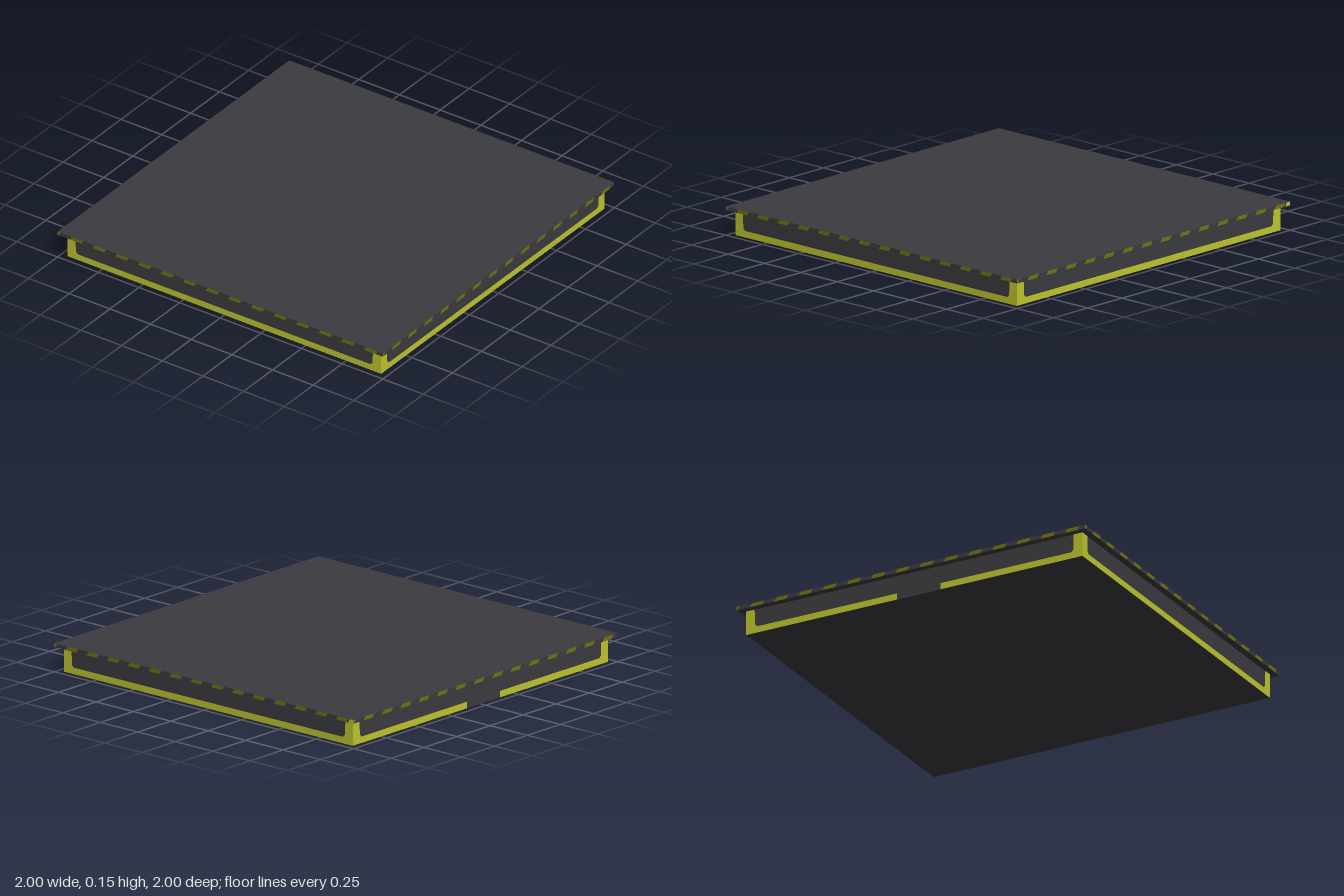
import * as THREE from 'three';

const BASE = 0.965, BASE_TOP = 0.13, TOP = 0.15;

function polygon(points) {
  return new THREE.ShapeGeometry(new THREE.Shape(points.map(([x, y]) => new THREE.Vector2(x, y))));
}

export function createModel() {
  const model = new THREE.Group();
  model.name = 'floorPlate';

  const darkMetal = new THREE.MeshStandardMaterial({ color: 0x3c3b40 });
  darkMetal.name = 'darkMetal';
  const yellowPaint = new THREE.MeshStandardMaterial({ color: 0xc0c62e });
  yellowPaint.name = 'yellowPaint';
  const olivePaint = new THREE.MeshStandardMaterial({ color: 0x74750f });
  olivePaint.name = 'olivePaint';

  const add = (parent, name, geometry, material, x = 0, y = 0, z = 0) => {
    const mesh = new THREE.Mesh(geometry, material);
    mesh.name = name;
    mesh.position.set(x, y, z);
    parent.add(mesh);
  };

  // Solid base and overhanging lid
  const inner = (BASE - 0.002) * 2;
  add(model, 'base', new THREE.BoxGeometry(inner, BASE_TOP, inner), darkMetal, 0, BASE_TOP / 2);
  const lid = (1 - 0.001) * 2;
  add(model, 'lid', new THREE.BoxGeometry(lid, TOP - BASE_TOP, lid), darkMetal, 0, (TOP + BASE_TOP) / 2);

  // Half of the painted border: an upright and a bottom strip ending at x = end
  const borderHalf = (end) => polygon([
    [-BASE, 0], [end, 0], [end, 0.034], [-0.9, 0.034], [-0.912, 0.046],
    [-0.915, BASE_TOP], [-BASE, BASE_TOP],
  ]);

  ['front', 'right', 'back', 'left'].forEach((name, i) => {
    const side = new THREE.Group();
    side.name = name + 'Side';
    side.rotation.y = i * Math.PI / 2;
    model.add(side);

    // The back strip is interrupted near its middle
    const [gapStart, gapEnd] = name === 'back' ? [-0.1, 0.15] : [0, 0];
    add(side, 'borderLeftHalf', borderHalf(gapStart), yellowPaint, 0, 0, BASE);
    const mirrored = borderHalf(-gapEnd).rotateY(Math.PI); // faces inward, so flip the winding
    const index = mirrored.index.array;
    for (let k = 0; k < index.length; k += 3) [index[k], index[k + 1]] = [index[k + 1], index[k]];
    mirrored.computeVertexNormals();
    add(side, 'borderRightHalf', mirrored, yellowPaint, 0, 0, BASE);

    // Slanted warning stripes along the lid edge
    for (let k = -4; k <= 10; k++) {
      const c = -0.465 + 0.139 * k;
      const clip = (x) => Math.max(-1, Math.min(1, x));
      const stripe = polygon([
        [clip(c - 0.042), BASE_TOP], [clip(c + 0.028), BASE_TOP],
        [clip(c + 0.042), TOP], [clip(c - 0.028), TOP],
      ]);
      add(side, 'stripe', stripe, olivePaint, 0, 0, 1);
    }
    // Bright corner mark
    if (name === 'right') {
      add(side, 'cornerMark', polygon([[0.965, BASE_TOP], [1, BASE_TOP], [1, TOP], [0.975, TOP]]), yellowPaint, 0, 0, 1.0005);
    }
  });

  return model;
}
